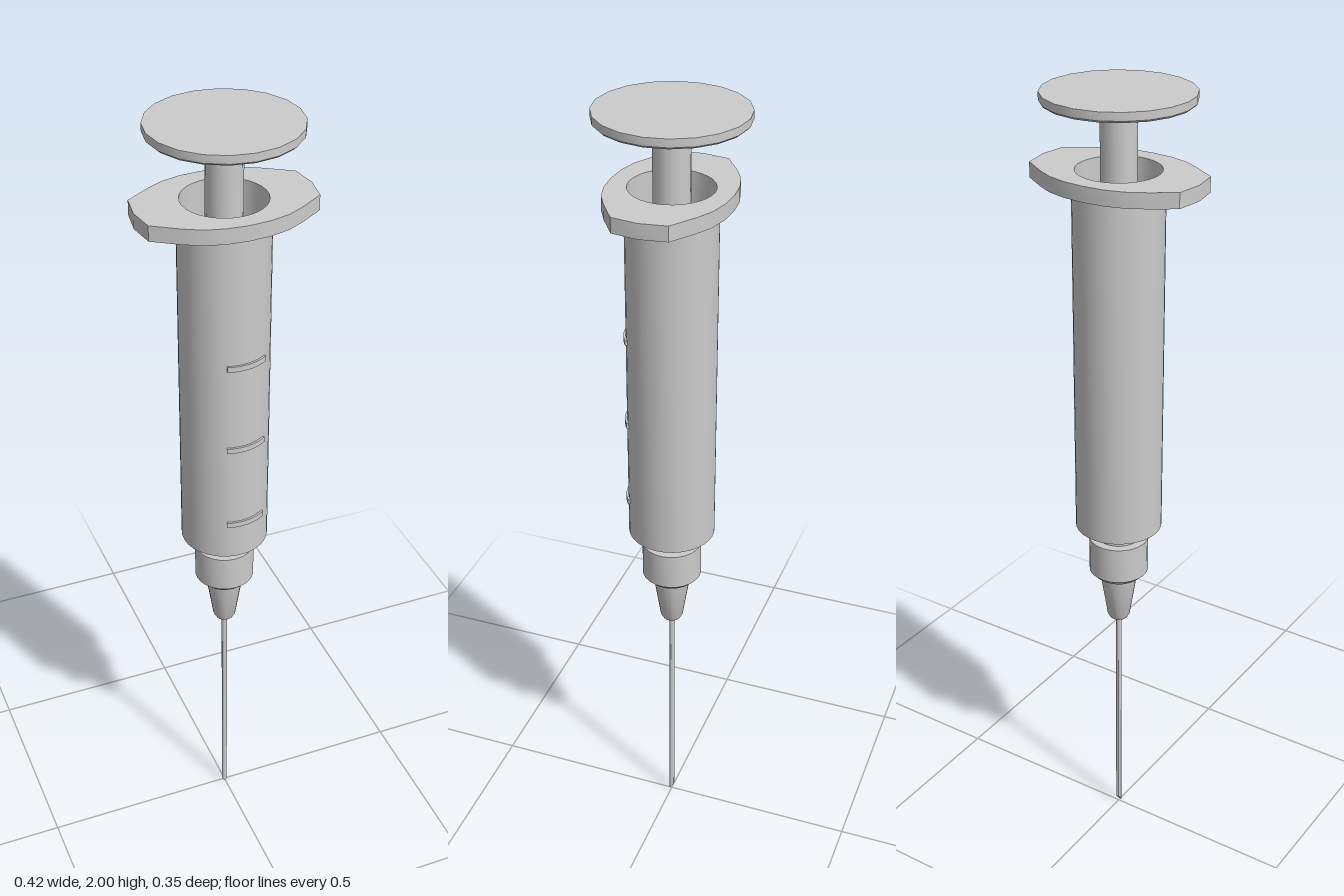
import * as THREE from 'three';
import { toCreasedNormals } from 'three/addons/utils/BufferGeometryUtils.js';

const grey = new THREE.MeshStandardMaterial({ color: 0xcccccc });

function addMesh(group, name, geometry) {
  const mesh = new THREE.Mesh(geometry, grey);
  mesh.name = name;
  group.add(mesh);
  return mesh;
}

// Turned part from [radius, height] pairs, with crisp profile corners
function turned(profile, sides) {
  const points = profile.map(([r, y]) => new THREE.Vector2(r, y));
  return toCreasedNormals(new THREE.LatheGeometry(points, sides), 0.45);
}

// Finger flange: rounded middle, tapering to clipped ends
function flangeGeometry() {
  const quarter = [[0.21, 0], [0.2, 0.066], [0.142, 0.105], [0.1, 0.128], [0.052, 0.141], [0, 0.145]];
  const half = [...quarter, ...quarter.slice(0, -1).reverse().map(([x, z]) => [-x, z])];
  const outline = [...half, ...half.slice(1, -1).reverse().map(([x, z]) => [x, -z])];
  const shape = new THREE.Shape(outline.map(([x, z]) => new THREE.Vector2(x, z)));
  const hole = new THREE.Path();
  hole.absarc(0, 0, 0.1, 0, Math.PI * 2, true);
  shape.holes.push(hole);
  const geometry = new THREE.ExtrudeGeometry(shape, { depth: 0.037, bevelEnabled: false, curveSegments: 16 });
  geometry.rotateX(-Math.PI / 2);
  return toCreasedNormals(geometry, 0.45);
}

// Raised graduation that wraps around the front of the barrel
function markGeometry() {
  const inner = 0.104, outer = 0.113, from = Math.PI * 0.3, to = Math.PI * 0.602;
  const shape = new THREE.Shape();
  shape.absarc(0, 0, outer, from, to, false);
  shape.absarc(0, 0, inner, to, from, true);
  const geometry = new THREE.ExtrudeGeometry(shape, { depth: 0.014, bevelEnabled: false, curveSegments: 8 });
  geometry.rotateX(Math.PI / 2);
  geometry.translate(0, 0.007, 0);
  return toCreasedNormals(geometry, 0.45);
}

// Thin rod whose lower end is cut at a slant, with the point at the front
function needleGeometry() {
  const r = 0.007;
  const geometry = new THREE.CylinderGeometry(r, r, 0.64, 12);
  geometry.translate(0, 0.32, 0);
  const p = geometry.attributes.position;
  for (let i = 0; i < p.count; i++) {
    if (p.getY(i) < 0.01) p.setY(i, (r - p.getZ(i)) * 1.5);
  }
  return toCreasedNormals(geometry, 0.6);
}

export function createModel() {
  const group = new THREE.Group();
  group.name = 'syringe';

  // Hollow barrel with the nozzle at its lower end
  addMesh(group, 'barrel', turned([
    [0, 0.84], [0.053, 0.84], [0.053, 0.905], [0.108, 0.905], [0.108, 1.8],
    [0.1, 1.8], [0.1, 0.925], [0, 0.925],
  ], 32));
  addMesh(group, 'fingerFlange', flangeGeometry()).position.y = 1.786;

  // Graduations
  for (const y of [1.005, 1.225, 1.45]) {
    addMesh(group, 'graduationMark', markGeometry()).position.y = y;
  }

  // Plunger: stopper, shaft and thumb rest
  const plunger = new THREE.Group();
  plunger.name = 'plunger';
  group.add(plunger);
  addMesh(plunger, 'stopper', turned([
    [0, 0.98], [0.098, 1.0], [0.098, 1.06], [0, 1.06],
  ], 32));
  addMesh(plunger, 'shaft', new THREE.CylinderGeometry(0.043, 0.043, 0.91, 16)).position.y = 1.505;
  addMesh(plunger, 'thumbRest', turned([
    [0, 1.948], [0.043, 1.948], [0.172, 1.976], [0.177, 1.981], [0.177, 2], [0, 2],
  ], 20));

  // Needle hub: collar, shoulder and tapered holder
  addMesh(group, 'needleHub', turned([
    [0, 0.624], [0.023, 0.624], [0.029, 0.635], [0.047, 0.752],
    [0.06, 0.757], [0.075, 0.772], [0.075, 0.866], [0, 0.866],
  ], 24));
  addMesh(group, 'needle', needleGeometry());

  return group;
}
